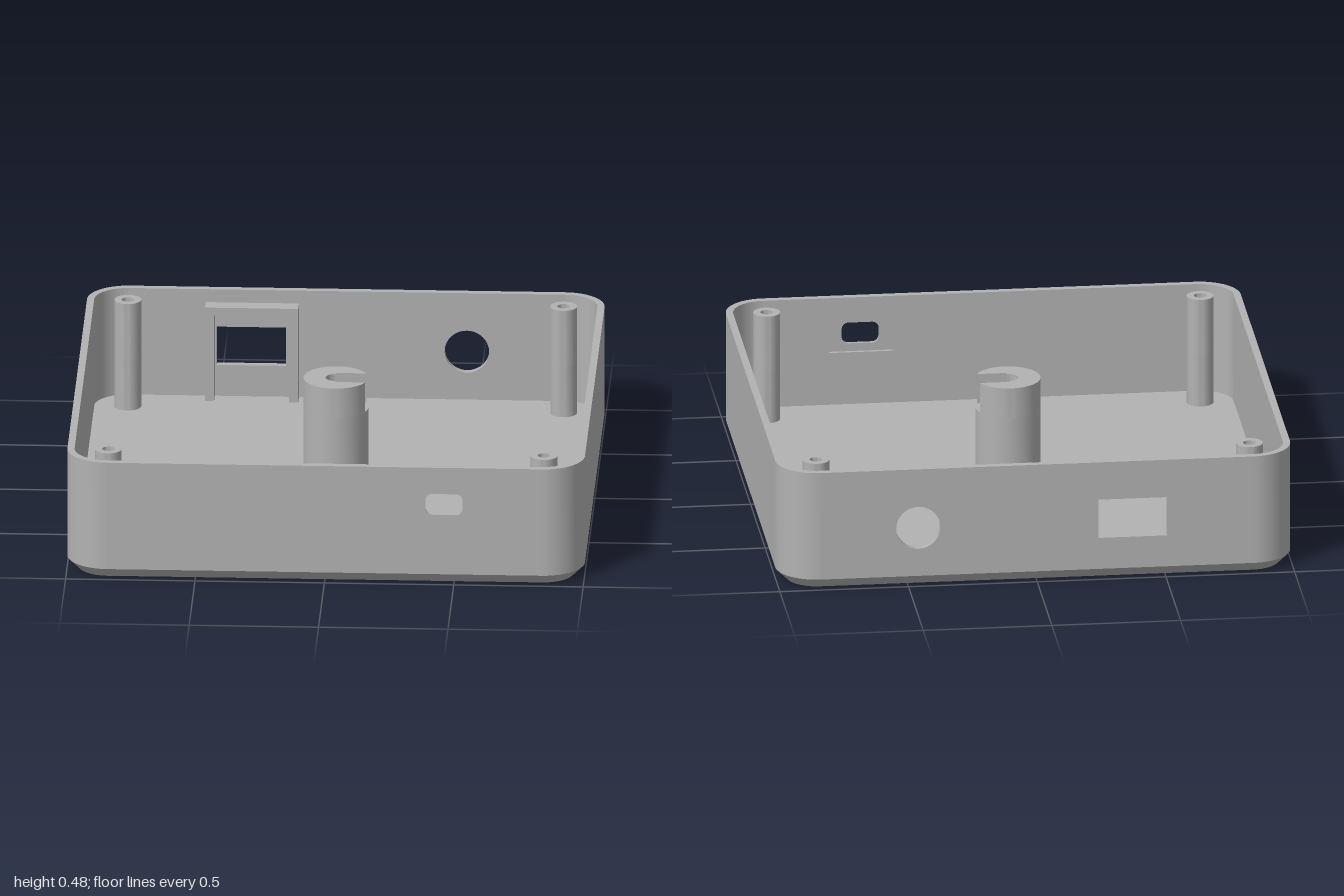
import * as THREE from 'three';
import { toCreasedNormals } from 'three/addons/utils/BufferGeometryUtils.js';

const H = 0.48, F = 0.043, T = 0.028, R = 0.16, C = 1 - R; // height, floor, wall, corner radius, corner centre
const grey = new THREE.MeshStandardMaterial({ color: 0xb2b2b2 });
grey.name = 'grey plastic';

const extrude = (shape, depth) =>
  new THREE.ExtrudeGeometry(shape, { depth, bevelEnabled: false, curveSegments: 20 });

// Extrudes a plan shape (x, -z) upwards from y0 to y1
function upright(shape, y0, y1) {
  return extrude(shape, y1 - y0).rotateX(-Math.PI / 2).translate(0, y0, 0);
}

function add(parent, name, geometry) {
  const mesh = new THREE.Mesh(toCreasedNormals(geometry, 0.6), grey);
  mesh.name = name;
  parent.add(mesh);
  return mesh;
}

function roundRect(x0, y0, x1, y1, r, target = new THREE.Shape()) {
  target.moveTo(x0 + r, y0).lineTo(x1 - r, y0);
  if (r) target.absarc(x1 - r, y0 + r, r, -Math.PI / 2, 0, false);
  target.lineTo(x1, y1 - r);
  if (r) target.absarc(x1 - r, y1 - r, r, 0, Math.PI / 2, false);
  target.lineTo(x0 + r, y1);
  if (r) target.absarc(x0 + r, y1 - r, r, Math.PI / 2, Math.PI, false);
  target.lineTo(x0, y0 + r);
  if (r) target.absarc(x0 + r, y0 + r, r, Math.PI, Math.PI * 1.5, false);
  return target;
}

const circle = (x, y, r, target = new THREE.Path()) => target.absarc(x, y, r, 0, Math.PI * 2, false);

function disc(r, hole) {
  const s = circle(0, 0, r, new THREE.Shape());
  if (hole) s.holes.push(circle(0, 0, hole));
  return s;
}

// Straight wall panel in the xy plane with cut-outs
function panel(holes, depth, z) {
  const s = roundRect(-C, F, C, H, 0);
  s.holes.push(...holes);
  return extrude(s, depth).translate(0, 0, z);
}

export function createModel() {
  const model = new THREE.Group();
  model.name = 'enclosure';

  // Floor with a chamfered lower edge and a centre bore
  const plan = roundRect(-1, -1, 1, 1, R);
  plan.holes.push(circle(0, 0, 0.055));
  const floor = upright(plan, 0, F);
  const p = floor.attributes.position;
  const clamp = (v) => THREE.MathUtils.clamp(v, -C, C);
  for (let i = 0; i < p.count; i++) {
    const x = p.getX(i), z = p.getZ(i);
    if (p.getY(i) > F / 2 || Math.hypot(x, z) < 0.5) continue;
    const k = (R - F) / R;
    p.setX(i, clamp(x) + (x - clamp(x)) * k);
    p.setZ(i, clamp(z) + (z - clamp(z)) * k);
  }
  add(model, 'floor', floor);

  // Rounded wall corners and screw posts
  const corner = new THREE.Shape();
  corner.absarc(0, 0, R, 0, Math.PI / 2, false);
  corner.absarc(0, 0, R - T, Math.PI / 2, 0, true);
  for (let i = 0; i < 4; i++) {
    const sx = i === 0 || i === 3 ? 1 : -1, sz = i < 2 ? -1 : 1;
    const wall = add(model, 'cornerWall', upright(corner, F, H));
    wall.position.set(sx * C, 0, sz * C);
    wall.rotation.y = i * Math.PI / 2;
    const post = new THREE.Group();
    post.name = 'screwPost';
    post.position.set(sx * 0.842, 0, sz * 0.842);
    add(post, 'postBase', upright(disc(0.052), F, 0.25));
    add(post, 'postSocket', upright(disc(0.052, 0.024), 0.25, H));
    model.add(post);
  }

  // Side walls
  for (const s of [-1, 1]) {
    add(model, 'sideWall', new THREE.BoxGeometry(T, H - F, 2 * C)
      .translate(s * (1 - T / 2), (H + F) / 2, 0));
  }

  // Front wall: small port opening outside, wider pocket inside
  const port = roundRect(0.39, 0.287, 0.534, 0.372, 0.026, new THREE.Path());
  const pocket = roundRect(0.335, 0.255, 0.585, 0.42, 0, new THREE.Path());
  add(model, 'frontWallOuter', panel([port], T / 2, 1 - T / 2));
  add(model, 'frontWallInner', panel([pocket], T / 2, 1 - T));

  // Back wall: round hole and rectangular window
  const windowHole = roundRect(-0.505, 0.17, -0.237, 0.327, 0, new THREE.Path());
  add(model, 'backWall', panel([circle(0.462, 0.24, 0.086), windowHole], T, -1));

  // Bracket around the inside of the window
  const bracket = new THREE.Shape();
  [[-0.547, F], [-0.512, F], [-0.512, 0.395], [-0.222, 0.395], [-0.222, F], [-0.187, F],
    [-0.187, 0.427], [-0.547, 0.427]].forEach(([x, y], i) => (i ? bracket.lineTo(x, y) : bracket.moveTo(x, y)));
  add(model, 'windowBracket', extrude(bracket, 0.062).translate(0, 0, -1 + T));

  // Centre post with a bore and a slot open towards +x
  const r = 0.126, w = 0.051, bore = 0.04, a = Math.asin(w / r), slotY = 0.36;
  const slotted = new THREE.Shape();
  slotted.absarc(0, 0, r, a, Math.PI * 2 - a, false);
  slotted.lineTo(0, -w);
  slotted.absarc(0, 0, bore, -Math.PI / 2, Math.PI / 2, true);
  slotted.lineTo(0, w);
  const centre = new THREE.Group();
  centre.name = 'centrePost';
  add(centre, 'postFoot', upright(disc(r, 0.055), F, 0.1));
  add(centre, 'postShaft', upright(disc(r, bore), 0.1, slotY));
  add(centre, 'postSlottedTop', upright(slotted, slotY, H));
  model.add(centre);

  return model;
}
